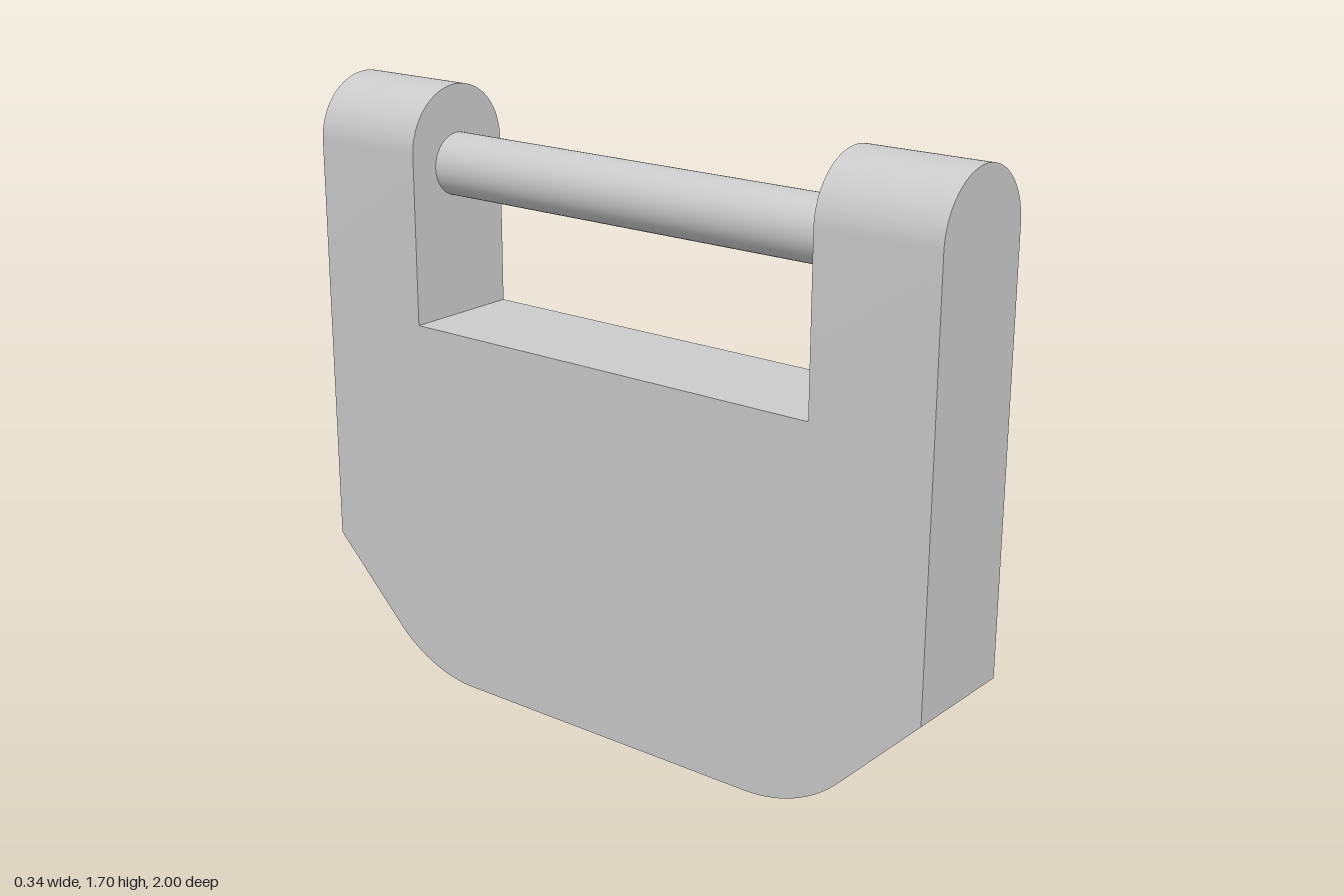
import * as THREE from 'three';
import { toCreasedNormals } from 'three/addons/utils/BufferGeometryUtils.js';

const HALF = 0.1725;      // half thickness in x
const HOLE_DEPTH = 0.25;  // the keyhole is blind
const SHOULDER = 1.05;    // top of the main body
const INNER = 0.65;       // inner face of the posts

const material = new THREE.MeshStandardMaterial({ color: 0xcccccc });

function extrude(shape, depth) {
  const geometry = new THREE.ExtrudeGeometry(shape, { depth, bevelEnabled: false, curveSegments: 24 });
  return toCreasedNormals(geometry, 0.5);
}

function part(name, geometry) {
  const mesh = new THREE.Mesh(geometry, material);
  mesh.name = name;
  return mesh;
}

// Side silhouette with chamfered, rounded lower corners
function bodyShape() {
  const r = 0.41, c = 0.48;
  const s = new THREE.Shape();
  s.moveTo(-1, SHOULDER);
  s.lineTo(-1, 0.35);
  s.absarc(-c, r, r, Math.PI * 1.25, Math.PI * 1.5, false);
  s.absarc(c, r, r, Math.PI * 1.5, Math.PI * 1.75, false);
  s.lineTo(1, 0.35);
  s.lineTo(1, SHOULDER);
  s.closePath();
  return s;
}

// Keyhole: rounded head flaring out of a straight slot
function keyholePath() {
  const p = new THREE.Path();
  p.moveTo(-0.05, 0.19);
  p.lineTo(0.05, 0.19);
  p.lineTo(0.05, 0.4);
  p.quadraticCurveTo(0.053, 0.43, 0.075, 0.445);
  p.quadraticCurveTo(0.117, 0.465, 0.117, 0.51);
  p.lineTo(0.117, 0.56);
  p.quadraticCurveTo(0.105, 0.63, 0.03, 0.635);
  p.lineTo(-0.03, 0.635);
  p.quadraticCurveTo(-0.105, 0.63, -0.117, 0.56);
  p.lineTo(-0.117, 0.51);
  p.quadraticCurveTo(-0.117, 0.465, -0.075, 0.445);
  p.quadraticCurveTo(-0.053, 0.43, -0.05, 0.4);
  p.closePath();
  return p;
}

// Round-topped post cross-section, seen along z
function postShape() {
  const s = new THREE.Shape();
  s.moveTo(-HALF, SHOULDER);
  s.lineTo(HALF, SHOULDER);
  s.absarc(0, 1.695 - HALF, HALF, 0, Math.PI, false);
  s.closePath();
  return s;
}

export function createModel() {
  const group = new THREE.Group();
  group.name = 'padlock';

  // Solid layer behind the keyhole, then the layer pierced by it
  const backing = extrude(bodyShape(), 2 * HALF - HOLE_DEPTH);
  backing.rotateY(Math.PI / 2).translate(-HALF, 0, 0);
  group.add(part('bodyBacking', backing));

  const pierced = bodyShape();
  pierced.holes.push(keyholePath());
  const face = extrude(pierced, HOLE_DEPTH);
  face.rotateY(Math.PI / 2).translate(HALF - HOLE_DEPTH, 0, 0);
  group.add(part('bodyWithKeyhole', face));

  // Posts at both ends
  for (const [name, z] of [['frontPost', INNER], ['backPost', -1]]) {
    const post = extrude(postShape(), 1 - INNER);
    post.translate(0, 0, z);
    group.add(part(name, post));
  }

  // Locking bar, its ends sunk slightly into the posts
  const bar = new THREE.CylinderGeometry(0.087, 0.087, 2 * INNER + 0.02, 48);
  bar.rotateX(Math.PI / 2).translate(0, 1.475, 0);
  group.add(part('lockingBar', bar));

  return group;
}
